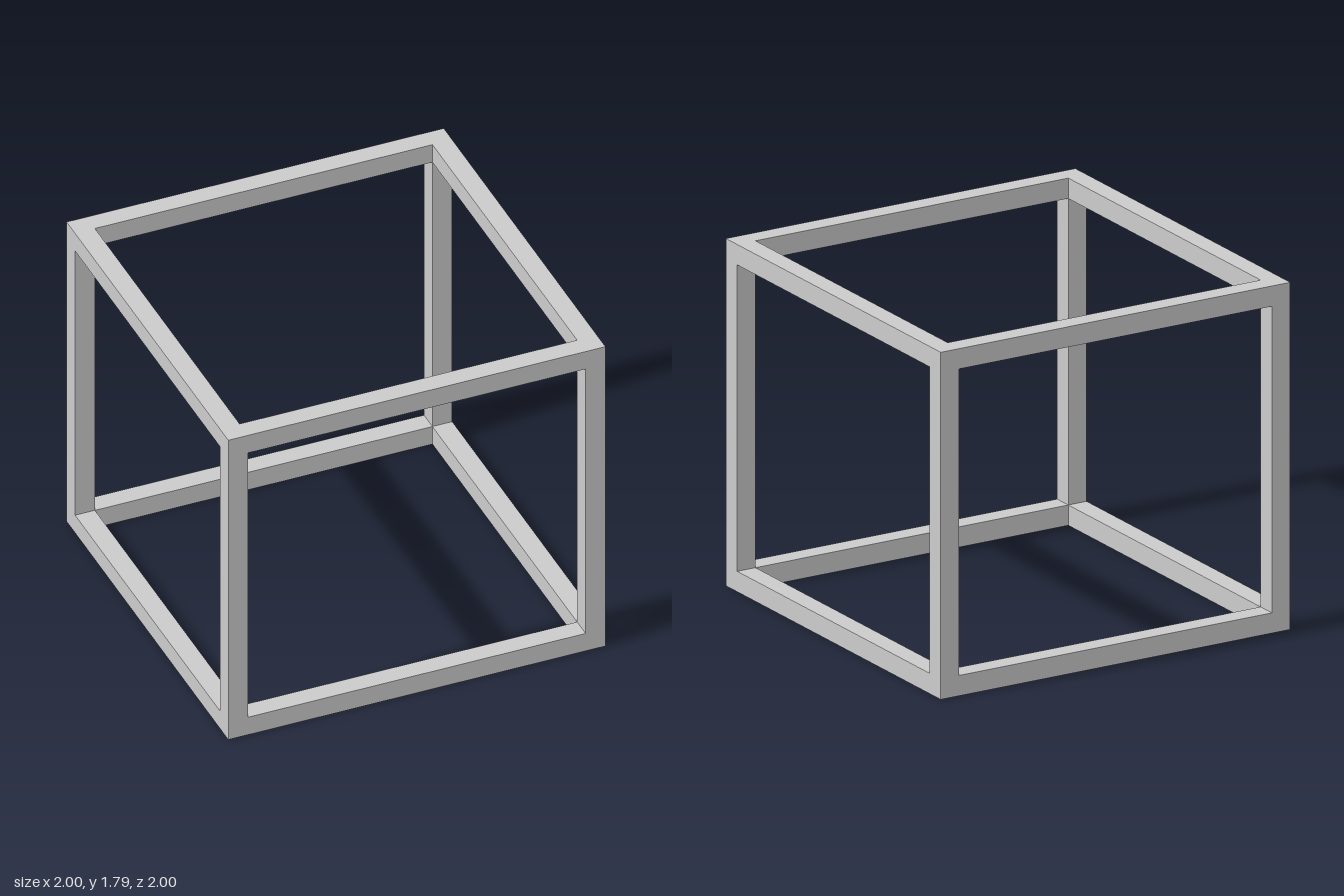
import * as THREE from 'three';

const HALF = 1;        // half the width and depth
const HEIGHT = 1.79;
const BAR = 0.105;     // square bar thickness

const material = new THREE.MeshStandardMaterial({ color: 0xcccccc, flatShading: true });

// Square outline centred on the origin
function square(PathType, h) {
  return new PathType().setFromPoints([
    new THREE.Vector2(-h, -h), new THREE.Vector2(h, -h),
    new THREE.Vector2(h, h), new THREE.Vector2(-h, h),
    new THREE.Vector2(-h, -h),
  ]);
}

// Flat square frame of four bars, lying with its underside at y
function makeFrame(name, y) {
  const shape = square(THREE.Shape, HALF);
  shape.holes.push(square(THREE.Path, HALF - BAR));
  const geometry = new THREE.ExtrudeGeometry(shape, { depth: BAR, bevelEnabled: false });
  geometry.rotateX(-Math.PI / 2);
  const mesh = new THREE.Mesh(geometry, material);
  mesh.name = name;
  mesh.position.y = y;
  return mesh;
}

export function createModel() {
  const group = new THREE.Group();
  group.name = 'openCubeFrame';

  // Bottom and top frames
  group.add(makeFrame('bottomFrame', 0), makeFrame('topFrame', HEIGHT - BAR));

  // Corner posts between the frames
  const postGeometry = new THREE.BoxGeometry(BAR, HEIGHT - 2 * BAR, BAR);
  const offset = HALF - BAR / 2;
  for (const [sx, side] of [[1, 'Left'], [-1, 'Right']]) {
    for (const [sz, end] of [[1, 'front'], [-1, 'back']]) {
      const post = new THREE.Mesh(postGeometry, material);
      post.name = `${end}${side}Post`;
      post.position.set(sx * offset, HEIGHT / 2, sz * offset);
      group.add(post);
    }
  }
  return group;
}
